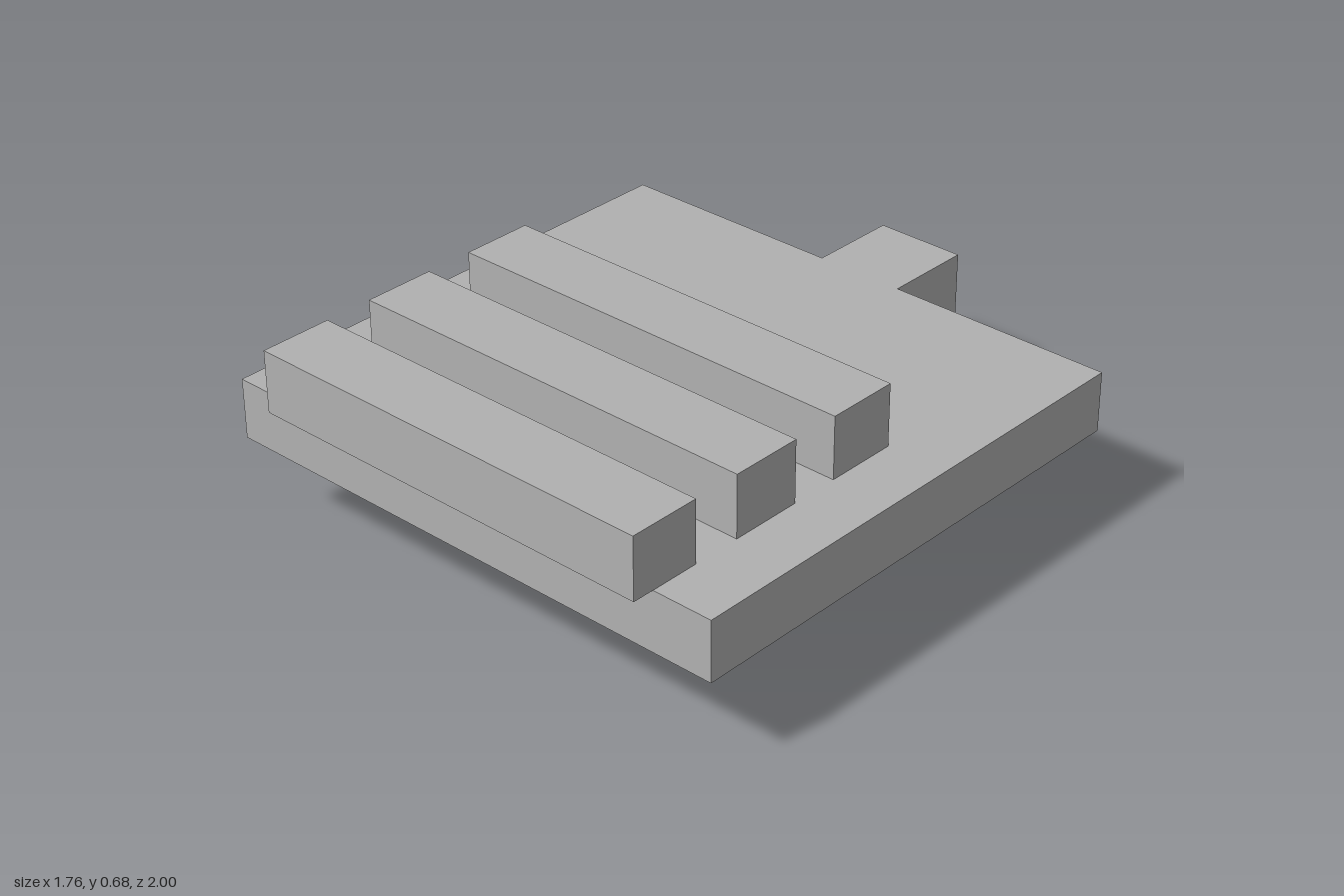
import * as THREE from 'three';

export function createModel() {
  const group = new THREE.Group();
  const grey = new THREE.MeshStandardMaterial({ color: 0xb0b0b0 });
  grey.name = 'plain grey';

  const add = (name, geometry) => {
    const mesh = new THREE.Mesh(geometry, grey);
    mesh.name = name;
    group.add(mesh);
  };

  // Box given by its half width and its y and z ranges
  const block = (name, halfWidth, y0, y1, z0, z1) =>
    add(name, new THREE.BoxGeometry(2 * halfWidth, y1 - y0, z1 - z0)
      .translate(0, (y0 + y1) / 2, (z0 + z1) / 2));

  const bottom = 0.295, top = 0.485;

  // Flat base plate
  block('plate', 0.88, bottom, top, -0.71, 0.93);

  // Three cross bars; the front one overhangs the plate
  for (let i = 0; i < 3; i++) {
    const z = i * 0.385;
    block(`crossBar${i + 1}`, 0.685, top, 0.68, z, z + 0.23);
  }

  // L-shaped hook at the back, drawn in side profile (-z, y)
  const profile = new THREE.Shape([
    [0.71, bottom], [0.805, bottom], [0.805, 0], [1, 0], [1, top], [0.71, top],
  ].map(([x, y]) => new THREE.Vector2(x, y)));
  add('rearHook', new THREE.ExtrudeGeometry(profile, { depth: 0.29, bevelEnabled: false })
    .translate(0, 0, -0.145)
    .rotateY(Math.PI / 2));

  return group;
}
